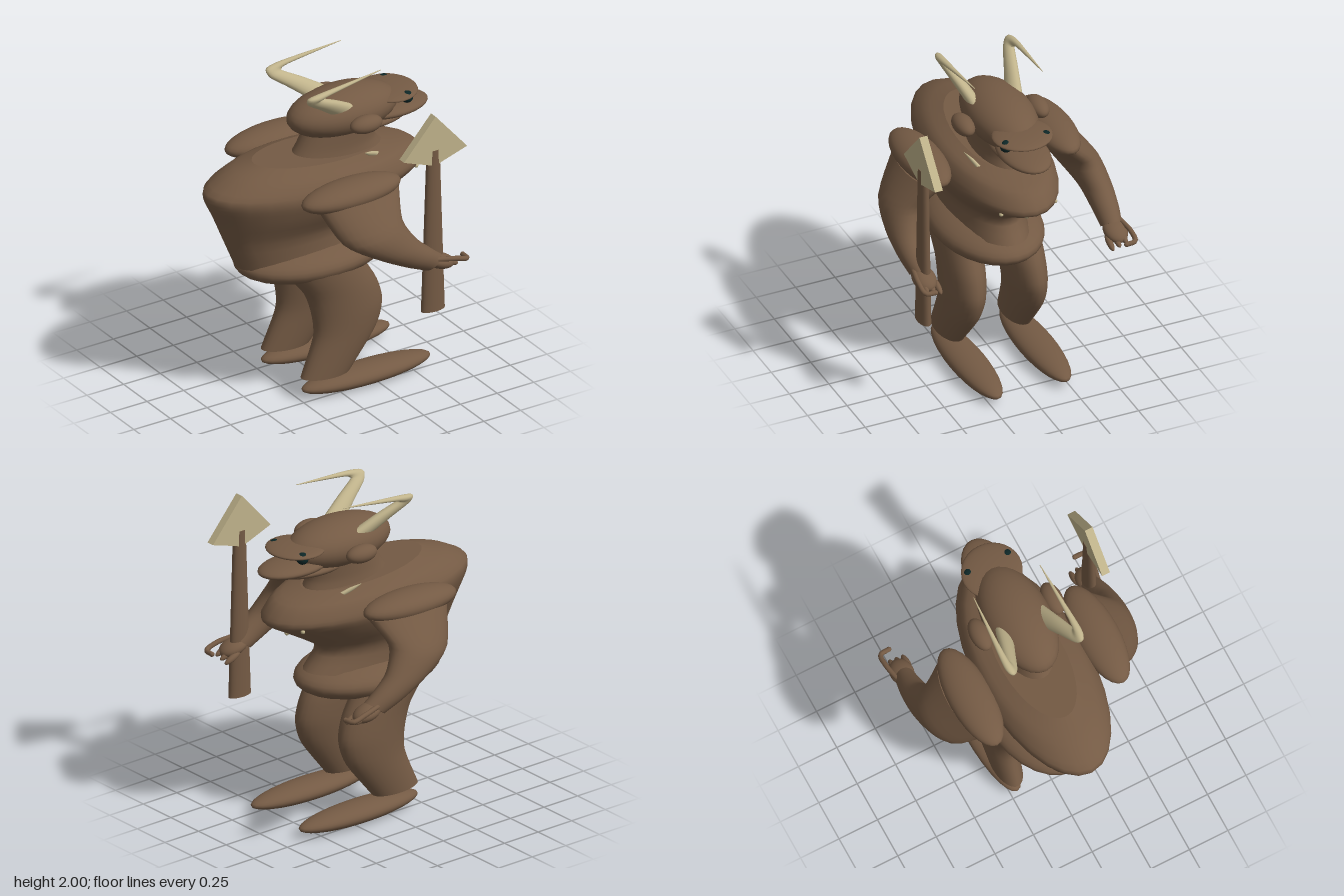
import * as THREE from 'three';

const material = (name, color) => {
  const m = new THREE.MeshStandardMaterial({ color });
  m.name = name;
  return m;
};

// Loft through elliptical sections [x1, y1, x2, y2, zCentre, zHalf]; (x1,y1)-(x2,y2) is the axis in the xy plane.
function loft(sections, side = 1, steps = 4, segs = 28) {
  const a = new THREE.CatmullRomCurve3(sections.map(s => new THREE.Vector3(s[0], s[1], s[4] * side)), false, 'catmullrom', 0.4);
  const b = new THREE.CatmullRomCurve3(sections.map(s => new THREE.Vector3(s[2], s[3], s[5])), false, 'catmullrom', 0.4);
  const rows = (sections.length - 1) * steps;
  const rings = [], centres = [];
  let flip = 0;
  for (let i = 0; i <= rows; i++) {
    const p = a.getPoint(i / rows), q = b.getPoint(i / rows);
    const c = new THREE.Vector3((p.x + q.x) / 2, (p.y + q.y) / 2, p.z);
    const ux = (q.x - p.x) / 2, uy = (q.y - p.y) / 2;
    if (!flip) {
      // keep the winding outward whichever way the loft travels
      const p2 = a.getPoint(1 / rows), q2 = b.getPoint(1 / rows);
      const dx = (p2.x + q2.x) / 2 - c.x, dy = (p2.y + q2.y) / 2 - c.y;
      flip = uy * dx - ux * dy < 0 ? -1 : 1;
    }
    const ring = [];
    for (let j = 0; j < segs; j++) {
      const t = j / segs * Math.PI * 2;
      ring.push([c.x + ux * Math.cos(t), c.y + uy * Math.cos(t), c.z + flip * q.z * Math.sin(t)]);
    }
    rings.push(ring);
    centres.push(c.toArray());
  }
  const pos = rings.flat(2), idx = [];
  for (let i = 0; i < rows; i++) {
    for (let j = 0; j < segs; j++) {
      const k = (j + 1) % segs, r = i * segs, n = r + segs;
      idx.push(r + j, r + k, n + k, r + j, n + k, n + j);
    }
  }
  // separate cap vertices keep the rims crisp
  for (const end of [0, rows]) {
    const base = pos.length / 3;
    pos.push(...rings[end].flat(), ...centres[end]);
    for (let j = 0; j < segs; j++) {
      const k = (j + 1) % segs;
      if (end) idx.push(base + j, base + k, base + segs);
      else idx.push(base + k, base + j, base + segs);
    }
  }
  const g = new THREE.BufferGeometry();
  g.setAttribute('position', new THREE.Float32BufferAttribute(pos, 3));
  g.setIndex(idx);
  g.computeVertexNormals();
  return g;
}

export function createModel() {
  const model = new THREE.Group();
  model.name = 'hornedWarrior';
  const hide = material('brownHide', 0x745a44);
  const bone = material('paleBone', 0xc0b38b);
  const dark = material('darkEye', 0x0d2626);

  const add = (name, geometry, mat = hide) => {
    const m = new THREE.Mesh(geometry, mat);
    m.name = name;
    model.add(m);
    return m;
  };
  const ball = (name, c, r, mat = hide, tilt = 0) => {
    const m = add(name, new THREE.SphereGeometry(1, 28, 18), mat);
    m.position.set(...c);
    m.scale.set(...r);
    m.rotation.z = tilt;
    return m;
  };

  // Torso, pelvis and neck
  add('torso', loft([
    [-0.55, 0.86, 0.40, 0.92, 0, 0.21],
    [-0.63, 1.05, 0.31, 1.05, 0, 0.21],
    [-0.69, 1.20, 0.50, 1.18, 0, 0.285],
    [-0.742, 1.31, 0.685, 1.29, 0, 0.33],
    [-0.742, 1.38, 0.675, 1.345, 0, 0.325],
    [-0.60, 1.455, 0.60, 1.41, 0, 0.28],
    [-0.43, 1.50, 0.42, 1.45, 0, 0.19],
  ], 1, 3));
  ball('pelvis', [-0.05, 0.84, 0], [0.485, 0.13, 0.32]);
  add('neck', loft([
    [-0.18, 1.45, 0.42, 1.43, 0, 0.155],
    [-0.13, 1.52, 0.38, 1.50, 0, 0.143],
    [-0.07, 1.62, 0.37, 1.60, 0, 0.14],
  ]));

  // Head
  ball('head', [0.17, 1.692, 0], [0.36, 0.143, 0.195]);
  ball('brow', [0.485, 1.73, 0], [0.17, 0.028, 0.18]);
  ball('muzzle', [0.50, 1.623, 0], [0.24, 0.046, 0.145]);
  ball('jaw', [0.35, 1.585, 0], [0.25, 0.045, 0.13]);
  ball('chestStud', [0.548, 1.21, 0], [0.014, 0.014, 0.014], bone);

  for (const s of [1, -1]) {
    const side = s > 0 ? 'near' : 'far';
    ball(side + 'Ear', [0.185, 1.687, 0.235 * s], [0.105, 0.053, 0.06]);
    ball(side + 'Eye', [0.535, 1.717, 0.125 * s], [0.036, 0.036, 0.036], dark);
    add(side + 'Horn', loft([
      [0.00, 1.76, 0.16, 1.78, 0.13, 0.042],
      [-0.10, 1.835, 0.02, 1.86, 0.17, 0.036],
      [-0.19, 1.90, -0.10, 1.92, 0.205, 0.03],
      [-0.20, 1.95, -0.10, 1.93, 0.225, 0.026],
      [-0.08, 1.972, -0.05, 1.945, 0.23, 0.018],
      [0.30, 2.0, 0.30, 1.996, 0.215, 0.002],
    ], s, 4, 18), bone);

    // Collar tusk and chest stud
    add(side + 'CollarTusk', loft([
      [0.27, 1.435, 0.30, 1.455, 0.185, 0.014],
      [0.22, 1.46, 0.245, 1.48, 0.205, 0.011],
      [0.18, 1.495, 0.183, 1.498, 0.23, 0.001],
    ], s, 3, 10), bone);
    ball(side + 'ChestStud', [0.568, 1.28, 0.17 * s], [0.013, 0.013, 0.013], bone);

    // Arm and hand
    ball(side + 'Shoulder', [-0.03, 1.38, 0.41 * s], [0.33, 0.082, 0.13], hide, 0.02);
    add(side + 'Arm', loft([
      [-0.28, 1.36, 0.28, 1.36, 0.42, 0.12],
      [-0.17, 1.14, 0.22, 1.21, 0.55, 0.12],
      [0.02, 1.02, 0.29, 1.08, 0.605, 0.092],
      [0.20, 0.925, 0.38, 1.0, 0.612, 0.076],
      [0.34, 0.86, 0.45, 0.945, 0.605, 0.062],
    ], s));
    ball(side + 'Palm', [0.45, 0.89, 0.605 * s], [0.095, 0.045, 0.07], hide, -0.3);
    for (let i = 0; i < 3; i++) {
      ball(side + 'Finger' + (i + 1), [0.505, 0.852 + i * 0.012, (0.545 + i * 0.042) * s],
        [0.06, 0.02, 0.019], hide, -0.4);
    }
    const thumb = [[0.40, 0.93, 0.65], [0.52, 0.912, 0.67], [0.60, 0.888, 0.662], [0.608, 0.885, 0.605]];
    add(side + 'Thumb', new THREE.TubeGeometry(new THREE.CatmullRomCurve3(
      thumb.map(([x, y, z]) => new THREE.Vector3(x, y, z * s))), 16, 0.015, 10));
    ball(side + 'ThumbTip', [0.608, 0.885, 0.605 * s], [0.015, 0.015, 0.015]);

    // Leg and foot
    add(side + 'Leg', loft([
      [-0.34, 0.84, 0.18, 0.82, 0.185, 0.125],
      [-0.20, 0.66, 0.275, 0.655, 0.188, 0.12],
      [-0.15, 0.50, 0.31, 0.51, 0.195, 0.113],
      [-0.15, 0.36, 0.26, 0.36, 0.203, 0.10],
      [-0.24, 0.14, 0.08, 0.128, 0.212, 0.08],
    ], s));
    ball(side + 'Foot', [0.195, 0.066, 0.217 * s], [0.435, 0.062, 0.11]);
  }

  // Spear
  add('spearShaft', loft([
    [0.333, 0.58, 0.49, 0.58, 0.593, 0.038],
    [0.335, 0.63, 0.488, 0.63, 0.593, 0.037],
    [0.372, 1.62, 0.455, 1.62, 0.593, 0.029],
  ], 1, 1));
  const blade = new THREE.Shape([[0.415, 1.84], [0.20, 1.60], [0.36, 1.54], [0.415, 1.52], [0.47, 1.54], [0.63, 1.59]]
    .map(([x, y]) => new THREE.Vector2(x, y)));
  add('spearHead', new THREE.ExtrudeGeometry(blade, { depth: 0.05, bevelEnabled: false }), bone)
    .position.z = 0.568;

  return model;
}
